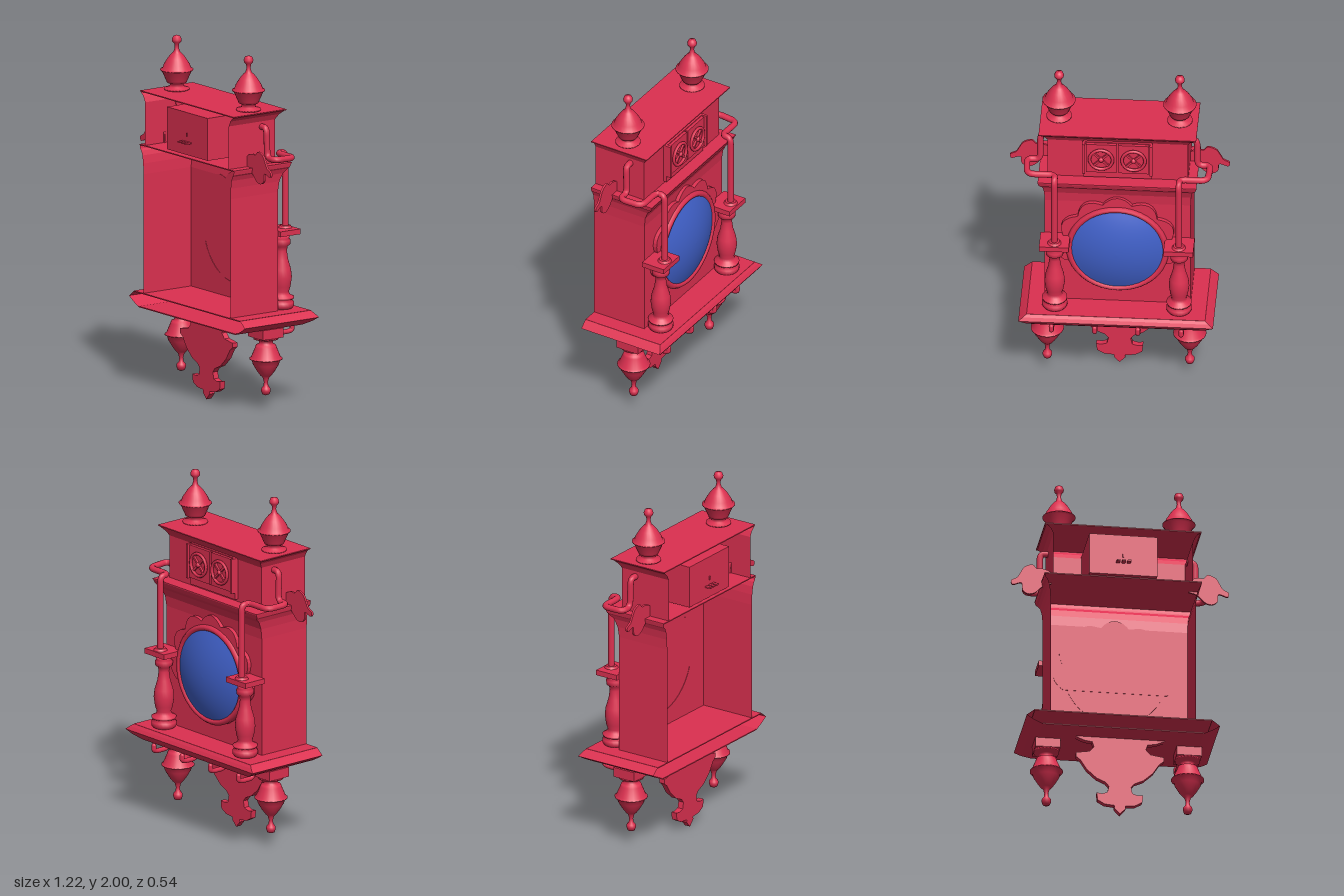
import * as THREE from 'three';

const RED = 0xdc3050, BLUE = 0x4060c8, BACK = 0.237;
const V = (x, y, z) => new THREE.Vector3(x, y, z);

export function createModel() {
  const group = new THREE.Group();
  const red = new THREE.MeshStandardMaterial({ color: RED });
  const sheet = new THREE.MeshStandardMaterial({ color: RED, side: THREE.DoubleSide });
  const blue = new THREE.MeshStandardMaterial({ color: BLUE, side: THREE.DoubleSide });

  function add(name, geo, x = 0, y = 0, z = 0, mat = red) {
    const m = new THREE.Mesh(geo, mat);
    m.name = name;
    m.position.set(x, y, z);
    group.add(m);
    return m;
  }
  const box = (name, w, h, d, x, y, z) => add(name, new THREE.BoxGeometry(w, h, d), x, y, z);

  // Three-sided casing, open at the back: levels are [y, halfWidth, frontDepth]
  function casing(name, levels) {
    const pos = [];
    const ring = ([y, w, f]) => [V(-w, y, BACK), V(-w, y, -f), V(w, y, -f), V(w, y, BACK)];
    for (let i = 0; i < levels.length - 1; i++) {
      const lo = ring(levels[i]), hi = ring(levels[i + 1]);
      for (let j = 0; j < 3; j++) {
        for (const p of [lo[j], hi[j], hi[j + 1], lo[j], hi[j + 1], lo[j + 1]]) pos.push(p.x, p.y, p.z);
      }
    }
    const geo = new THREE.BufferGeometry();
    geo.setAttribute('position', new THREE.Float32BufferAttribute(pos, 3));
    geo.computeVertexNormals();
    add(name, geo, 0, 0, 0, sheet);
  }
  const board = (name, y, w, f) =>
    box(name, 2 * w, 0.006, f + BACK, 0, y, (BACK - f) / 2);

  const lathe = (pts, seg = 24) =>
    new THREE.LatheGeometry(pts.map(p => new THREE.Vector2(p[0], p[1])), seg);

  // Tube through points with rounded corners
  function pipe(pts, r, bend) {
    const path = new THREE.CurvePath();
    let from = pts[0];
    for (let i = 1; i < pts.length; i++) {
      const p = pts[i], next = pts[i + 1];
      if (!next) { path.add(new THREE.LineCurve3(from, p)); break; }
      const toward = q => p.clone().add(q.clone().sub(p).setLength(Math.min(bend, q.distanceTo(p) * 0.45)));
      const a = toward(pts[i - 1]), b = toward(next);
      path.add(new THREE.LineCurve3(from, a));
      path.add(new THREE.QuadraticBezierCurve3(a, p, b));
      from = b;
    }
    return new THREE.TubeGeometry(path, 90, r, 10);
  }

  function plate(pts, depth, smooth = false) {
    const s = new THREE.Shape();
    s.moveTo(...pts[0]);
    if (smooth) s.splineThru(pts.slice(1).map(p => new THREE.Vector2(...p)));
    else pts.slice(1).forEach(p => s.lineTo(...p));
    return new THREE.ExtrudeGeometry(s, { depth, bevelEnabled: false, curveSegments: 40 });
  }

  // Casework
  casing('base', [[0.46, 0.45, 0.225], [0.485, 0.5, 0.255], [0.51, 0.54, 0.273], [0.53, 0.515, 0.262], [0.545, 0.495, 0.25]]);
  board('baseBottom', 0.463, 0.45, 0.225);
  board('floor', 0.543, 0.495, 0.25);
  casing('body', [[0.545, 0.405, 0.09], [1.22, 0.405, 0.09], [1.28, 0.408, 0.098], [1.325, 0.415, 0.118],
    [1.35, 0.425, 0.145], [1.36, 0.435, 0.15], [1.385, 0.44, 0.16]]);
  board('shelf', 1.383, 0.44, 0.16);
  casing('upperCase', [[1.385, 0.39, 0.08], [1.63, 0.39, 0.08], [1.66, 0.405, 0.1], [1.675, 0.42, 0.115], [1.69, 0.437, 0.125]]);
  board('roof', 1.687, 0.437, 0.125);

  // Mechanism box with two spoked wheels on its face and small pegs behind
  box('mechanismBox', 0.38, 0.24, 0.335, 0, 1.52, 0.067);
  for (const s of [-1, 1]) {
    box('facePanel', 0.17, 0.19, 0.02, s * 0.09, 1.54, -0.108);
    box('faceEdge', 0.015, 0.2, 0.035, s * 0.187, 1.54, -0.112);
    add('wheelRim', new THREE.TorusGeometry(0.064, 0.009, 8, 28), s * 0.09, 1.54, -0.128);
    add('wheelHub', new THREE.SphereGeometry(0.015, 12, 8), s * 0.09, 1.54, -0.128);
    for (const a of [1, -1]) box('spoke', 0.125, 0.012, 0.012, s * 0.09, 1.54, -0.126).rotation.z = a * Math.PI / 4;
  }
  for (let i = -1; i <= 1; i++) box('peg', 0.02, 0.008, 0.036, i * 0.03, 1.473, 0.253);
  box('pegPin', 0.008, 0.02, 0.008, 0, 1.515, 0.237);

  // Dial: scalloped crest, rim and domed glass
  const crest = [];
  for (let i = 0; i <= 56; i++) {
    const a = Math.PI * (-0.1 + 1.2 * i / 56);
    const r = 0.305 + 0.04 * Math.abs(Math.sin(i / 56 * Math.PI * 7));
    crest.push([r * Math.cos(a), r * Math.sin(a)]);
  }
  add('dialCrest', plate(crest, 0.025), 0, 0.92, -0.113);
  const rim = add('dialRim', lathe([[0.285, 0], [0.285, 0.03], [0.275, 0.042], [0.26, 0.042], [0.25, 0.03]], 40), 0, 0.92, -0.088, sheet);
  rim.rotation.x = -Math.PI / 2;
  const dome = [];
  for (let i = 0; i <= 10; i++) dome.push([0.254 * i / 10, 0.055 * (1 - (i / 10) ** 2)]);
  const glass = add('dialGlass', lathe(dome, 40), 0, 0.92, -0.122, blue);
  glass.rotation.x = -Math.PI / 2;

  // Turned parts
  const finial = lathe([[0, 0], [0.07, 0], [0.07, 0.01], [0.04, 0.018], [0.038, 0.035], [0.055, 0.042], [0.06, 0.055],
    [0.082, 0.105], [0.092, 0.112], [0.092, 0.117], [0.08, 0.121], [0.072, 0.145], [0.05, 0.18], [0.03, 0.205], [0.018, 0.215],
    [0.011, 0.24], [0.014, 0.26], [0.025, 0.272], [0.027, 0.285], [0.02, 0.303], [0, 0.31]]);
  const baluster = lathe([[0, 0.545], [0.06, 0.545], [0.07, 0.56], [0.07, 0.58], [0.055, 0.592], [0.068, 0.6], [0.07, 0.61],
    [0.045, 0.622], [0.04, 0.64], [0.05, 0.67], [0.057, 0.72], [0.052, 0.765], [0.036, 0.82], [0.029, 0.87],
    [0.034, 0.895], [0.048, 0.905], [0.05, 0.93], [0.04, 0.94], [0.05, 0.957], [0, 0.957]]);

  // Side ornament outline
  const bird = [[0.385, 1.375], [0.43, 1.36], [0.475, 1.318], [0.515, 1.308], [0.545, 1.33], [0.552, 1.372], [0.6, 1.36],
    [0.608, 1.385], [0.575, 1.405], [0.56, 1.43], [0.535, 1.47], [0.49, 1.487], [0.465, 1.465], [0.43, 1.465], [0.385, 1.44], [0.385, 1.375]];

  for (const s of [-1, 1]) {
    add('topFinial', finial, s * 0.335, 1.69, 0.06);
    box('pendantBlock', 0.14, 0.055, 0.14, s * 0.395, 0.435, -0.015);
    add('pendantFinial', finial, s * 0.395, 0.408, -0.015).scale.y = 1.07;
    group.children.at(-1).rotation.x = Math.PI;
    add('column', baluster, s * 0.345, 0, -0.16);
    box('columnCap', 0.165, 0.03, 0.14, s * 0.345, 0.982, -0.16);
    add('pipeFlange', new THREE.CylinderGeometry(0.03, 0.04, 0.015, 20), s * 0.345, 1.002, -0.185);
    add('pipe', pipe([V(s * 0.345, 0.99, -0.185), V(s * 0.345, 1.425, -0.185), V(s * 0.345, 1.425, -0.13), V(s * 0.5, 1.425, -0.13),
      V(s * 0.51, 1.43, 0.005), V(s * 0.435, 1.43, 0.005), V(s * 0.435, 1.6, 0.01), V(s * 0.385, 1.6, 0.01)], 0.018, 0.04));
    add('sideOrnament', plate(bird.map(([x, y]) => [s * x, y]), 0.012, true), 0, 0, 0.098, sheet);
  }

  // Hooks under the base
  for (const x of [-0.36, -0.12, 0.12, 0.36]) {
    add('hook', pipe([V(x, 0.465, -0.115), V(x, 0.41, -0.115), V(x, 0.41, -0.22), V(x, 0.445, -0.22)], 0.014, 0.04));
    add('hookTip', new THREE.SphereGeometry(0.014, 10, 8), x, 0.445, -0.22);
  }

  // Flat hanging ornament below the back
  const half = [[0, 0], [0.032, 0.035], [0.03, 0.05], [0.085, 0.055], [0.125, 0.078], [0.13, 0.122], [0.1, 0.118], [0.07, 0.128], [0.062, 0.165],
    [0.08, 0.188], [0.13, 0.21], [0.185, 0.26], [0.22, 0.315], [0.245, 0.335], [0.245, 0.36], [0.17, 0.372], [0.145, 0.4],
    [0.155, 0.43], [0.2, 0.437], [0.26, 0.463]];
  const outline = [...half, ...half.slice(1).reverse().map(([x, y]) => [-x, y])];
  add('hangingOrnament', plate(outline, 0.034), 0, 0, 0.07);

  return group;
}
